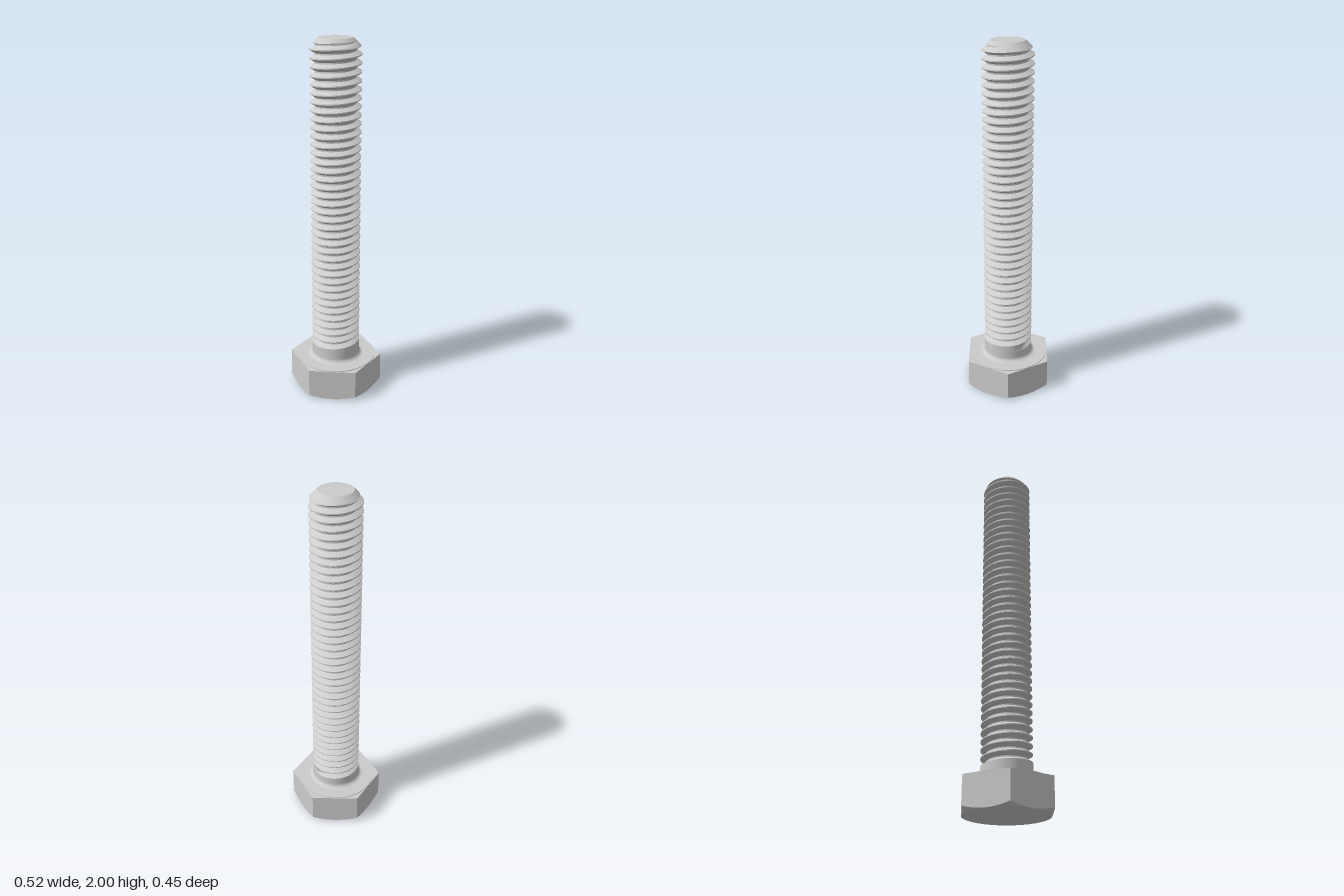
import * as THREE from 'three';
import { toCreasedNormals } from 'three/addons/utils/BufferGeometryUtils.js';

const SEG = 96;
const FLAT = 0.2273;      // half the width across the flats
const HEAD = 0.182;       // head height
const R = 0.1364;         // thread crest radius
const PITCH = 2 / 44;
const DEPTH = 0.6134 * PITCH;
const TIP = 0.0909;       // radius of the flat end

// Surface around the y axis: fn(row, angle) gives [radius, y], rows run upwards
function turned(rows, fn, crease) {
  const pos = [], index = [];
  rows.forEach((row) => {
    for (let j = 0; j <= SEG; j++) {
      const a = (j / SEG) * Math.PI * 2;
      const [r, y] = fn(row, a);
      pos.push(r * Math.sin(a), y, r * Math.cos(a));
    }
  });
  const distinct = (p, q) => [0, 1, 2].some((k) => Math.abs(pos[p * 3 + k] - pos[q * 3 + k]) > 1e-6);
  const tri = (a, b, c) => {
    if (distinct(a, b) && distinct(b, c) && distinct(c, a)) index.push(a, b, c);
  };
  for (let i = 0; i < rows.length - 1; i++) {
    for (let j = 0; j < SEG; j++) {
      const a = i * (SEG + 1) + j, c = a + SEG + 1;
      tri(a, a + 1, c);
      tri(a + 1, c + 1, c);
    }
  }
  const geo = new THREE.BufferGeometry();
  geo.setAttribute('position', new THREE.Float32BufferAttribute(pos, 3));
  geo.setIndex(index);
  return toCreasedNormals(geo, crease);
}

// Hexagon with its lower corners cut by a 30 degree cone
function headGeometry() {
  const sixth = Math.PI / 3;
  const hex = (a) => FLAT / Math.cos(((a + sixth / 2) % sixth) - sixth / 2);
  const top = HEAD - 0.004;
  const rings = [
    () => [0, 0],
    () => [FLAT, 0],
    (a) => [hex(a), (hex(a) - FLAT) * Math.tan(Math.PI / 6)],
    (a) => [hex(a), top],
    () => [0, top],
  ];
  return turned(rings, (ring, a) => ring(a), 0.4);
}

// Right-handed helical V groove, fading in at the shank and chamfered at the tip
function threadGeometry() {
  const base = 0.2536, low = 0.235;
  const root = 0.083, crest = 0.4375;
  const offsets = [];
  for (let k = 0; k <= 4; k++) offsets.push(root + ((crest - root) * k) / 4);
  const profile = [...offsets.map((o) => -o).reverse(), ...offsets];
  const rows = [];
  for (let n = -1; n <= 39; n++) profile.forEach((o) => rows.push({ n, o }));

  return turned(rows, ({ n, o }, a) => {
    const turn = a / (Math.PI * 2);
    const y = THREE.MathUtils.clamp(base + PITCH * (n + o + turn), low, 2);
    const fade = THREE.MathUtils.smoothstep(n + turn, 0.12, 0.32);
    const cut = (DEPTH * (crest - Math.abs(o))) / (crest - root);
    const r = y <= low ? R : R - cut * fade;
    return [Math.min(r, TIP + 2 - y), y];
  }, 0.45);
}

export function createModel() {
  const bolt = new THREE.Group();
  bolt.name = 'hexBolt';
  const material = new THREE.MeshStandardMaterial({ color: 0xcccccc });
  const add = (name, geometry) => {
    const mesh = new THREE.Mesh(geometry, material);
    mesh.name = name;
    bolt.add(mesh);
    return mesh;
  };

  add('hexHead', headGeometry());

  // Thin raised bearing face on top of the head
  add('washerFace', new THREE.CylinderGeometry(FLAT - 0.001, FLAT - 0.001, 0.004, SEG))
    .position.y = HEAD - 0.002;

  // Plain shank with a fillet where it meets the head
  const fillet = 0.024;
  const points = [];
  for (let k = 0; k <= 8; k++) {
    const t = (k / 8) * Math.PI / 2;
    points.push(new THREE.Vector2(R + fillet * (1 - Math.sin(t)), HEAD + fillet * (1 - Math.cos(t))));
  }
  points.push(new THREE.Vector2(R, 0.235));
  add('shank', new THREE.LatheGeometry(points, SEG));

  add('thread', threadGeometry());

  // Flat end of the chamfered tip
  const tip = add('tip', new THREE.CircleGeometry(TIP, SEG));
  tip.rotation.x = -Math.PI / 2;
  tip.position.y = 2;

  return bolt;
}
